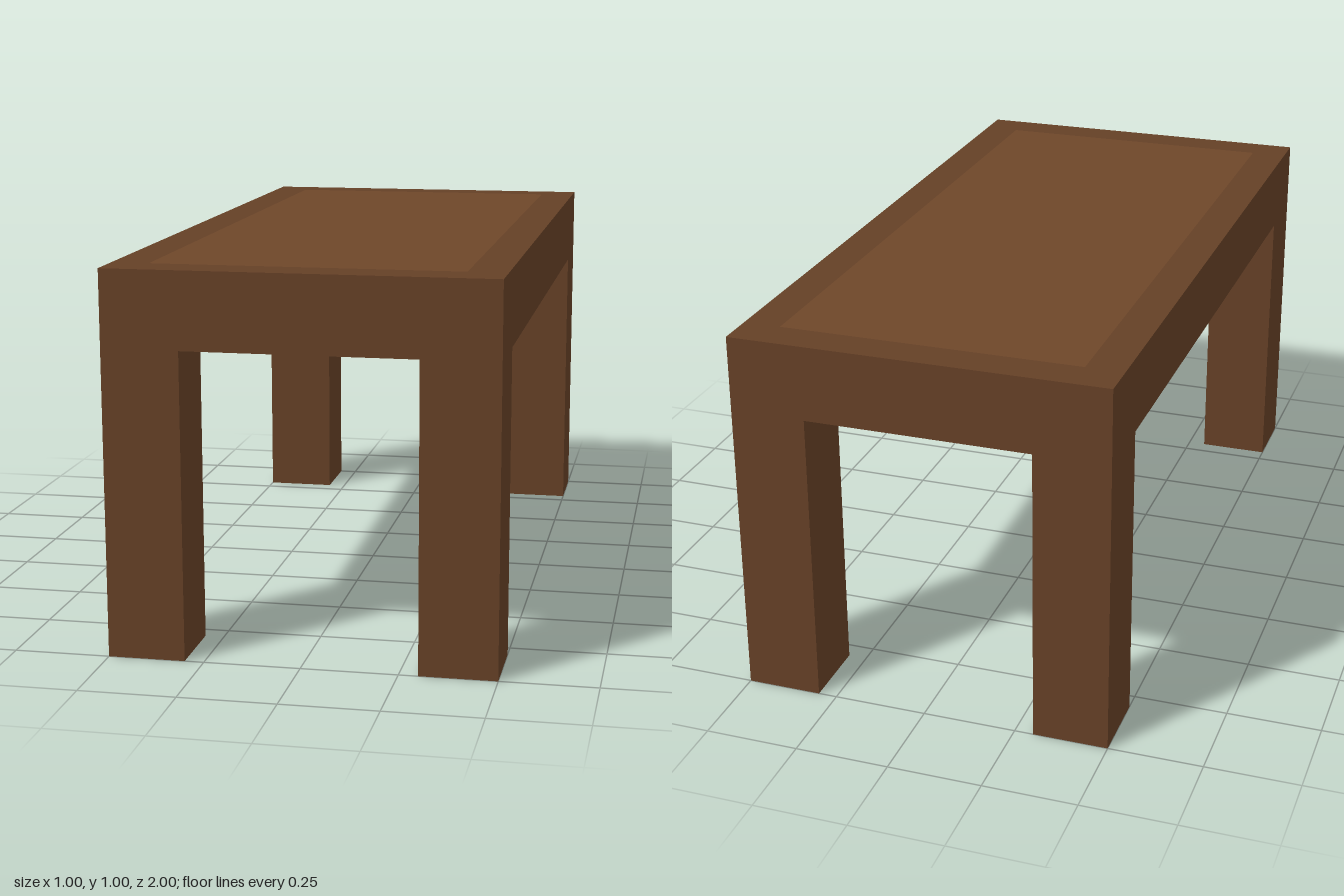
import * as THREE from 'three';

export function createModel() {
  const table = new THREE.Group();
  table.name = 'table';
  const wood = new THREE.MeshStandardMaterial({ color: 0x654026 });
  const lightWood = new THREE.MeshStandardMaterial({ color: 0x6e4729 });

  const add = (name, geometry, material, x, y, z) => {
    const mesh = new THREE.Mesh(geometry, material);
    mesh.name = name;
    mesh.position.set(x, y, z);
    table.add(mesh);
  };

  // Thick top slab
  add('tableTop', new THREE.BoxGeometry(1, 0.2, 2), wood, 0, 0.9, 0);

  // Lighter panel, practically flush with the slab
  const panel = new THREE.PlaneGeometry(0.8, 1.8).rotateX(-Math.PI / 2);
  add('topPanel', panel, lightWood, 0, 1.001, 0);

  // Square legs, flush with the corners
  const leg = new THREE.BoxGeometry(0.2, 0.8, 0.2);
  for (const [side, x] of [['Left', 0.4], ['Right', -0.4]]) {
    for (const [end, z] of [['front', 0.9], ['back', -0.9]]) {
      add(`${end}${side}Leg`, leg, wood, x, 0.4, z);
    }
  }
  return table;
}
